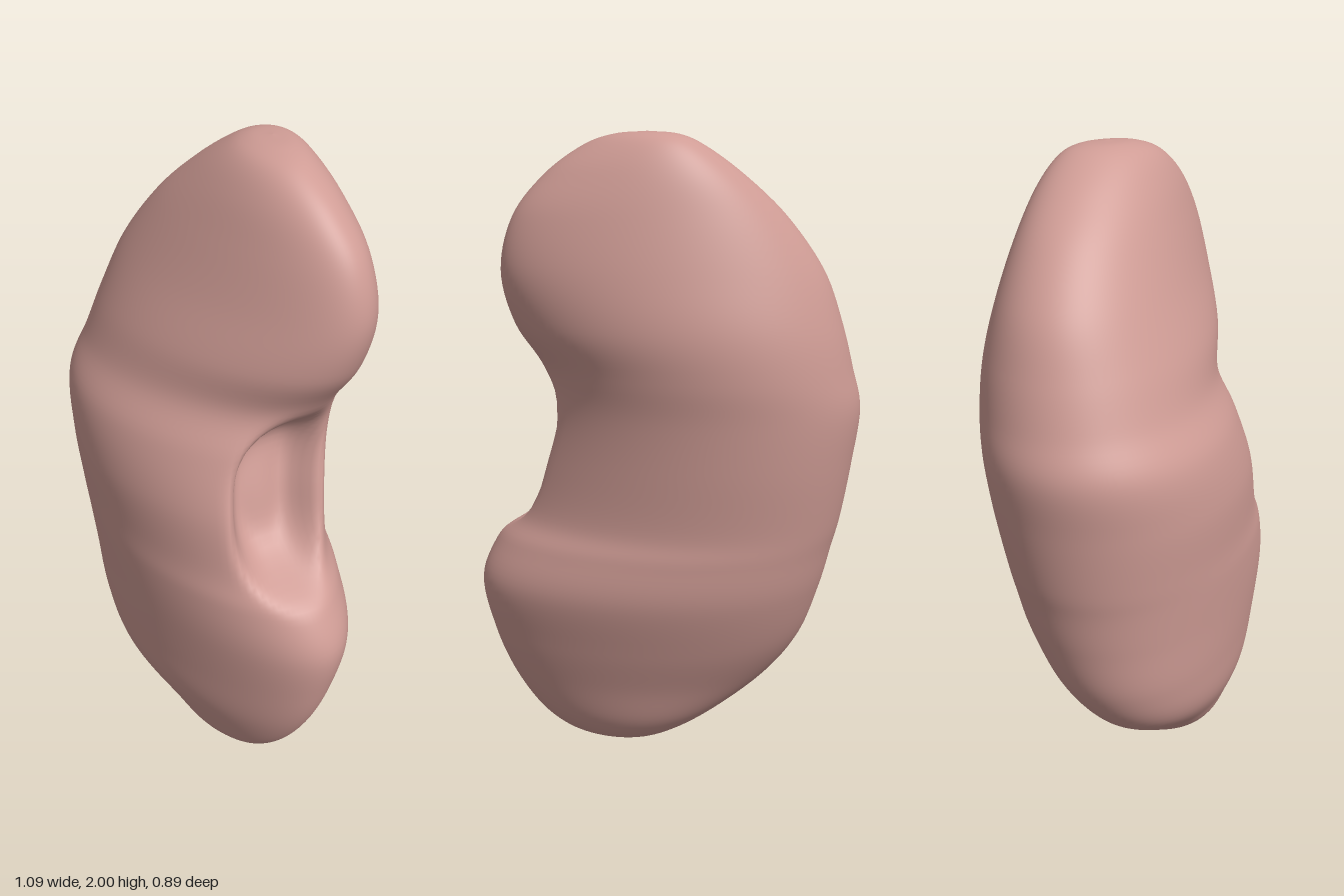
import * as THREE from 'three';

// Cross-sections from bottom to top: y, x min, x max, z min, z max, slant
const SECTIONS = [
  [0.00, 0.13, 0.13, 0.18, 0.18, 0.4],
  [0.008, 0.04, 0.22, 0.10, 0.25, 0.4],
  [0.04, -0.05, 0.30, 0.02, 0.315, 0.42],
  [0.12, -0.17, 0.38, -0.07, 0.36, 0.47],
  [0.25, -0.335, 0.455, -0.16, 0.405, 0.49],
  [0.40, -0.42, 0.51, -0.25, 0.43, 0.5],
  [0.58, -0.46, 0.545, -0.325, 0.448, 0.48],
  [0.72, -0.485, 0.495, -0.36, 0.435, 0.45],
  [0.82, -0.505, 0.435, -0.38, 0.41, 0.42],
  [1.00, -0.53, 0.40, -0.415, 0.385, 0.36],
  [1.17, -0.545, 0.38, -0.438, 0.33, 0.31],
  [1.30, -0.50, 0.395, -0.443, 0.27, 0.31],
  [1.44, -0.45, 0.475, -0.43, 0.27, 0.39],
  [1.60, -0.38, 0.512, -0.39, 0.24, 0.48],
  [1.76, -0.26, 0.475, -0.335, 0.20, 0.52],
  [1.88, -0.13, 0.385, -0.28, 0.15, 0.5],
  [1.96, -0.02, 0.285, -0.22, 0.085, 0.45],
  [1.992, 0.05, 0.21, -0.16, 0.01, 0.42],
  [2.00, 0.13, 0.13, -0.075, -0.075, 0.42],
];

const AROUND = 112;
const LEVELS = 126;

function bodyGeometry() {
  const spline = (start) => new THREE.CatmullRomCurve3(
    SECTIONS.map((s) => new THREE.Vector3(s[start], s[start + 1], s[start + 2])), false, 'catmullrom');
  const first = spline(0);
  const second = spline(3);
  const positions = [];
  const indices = [];

  for (let j = 0; j <= LEVELS; j++) {
    const { x: y, y: x0, z: x1 } = first.getPoint(j / LEVELS);
    const { x: z0, y: z1, z: slant } = second.getPoint(j / LEVELS);
    for (let i = 0; i < AROUND; i++) {
      const t = (i / AROUND) * Math.PI * 2;
      // The outer edge is slanted less than the inner one
      const phase = Math.asin(slant + 0.13 * Math.cos(t));
      let x = (x0 + x1) / 2 + ((x1 - x0) / 2) * Math.cos(t);
      let z = (z0 + z1) / 2 + ((z1 - z0) / 2) * Math.sin(t + phase);
      // Hilum: a steep-walled hollow in the inner edge
      const dt = (t > Math.PI ? t - Math.PI * 2 : t) - 0.4;
      const d = Math.abs(dt / 0.44) ** 2.5 + Math.abs((y - 1.015) / 0.23) ** 3;
      const dent = 0.18 * Math.exp(-d * d);
      x -= dent * 0.8;
      z -= dent * 0.6;
      positions.push(x, THREE.MathUtils.clamp(y, 0, 2), z);

      if (j < LEVELS) {
        const next = (i + 1) % AROUND;
        const a = j * AROUND + i, b = j * AROUND + next;
        const c = a + AROUND, e = b + AROUND;
        indices.push(a, c, b, b, c, e);
      }
    }
  }

  const geometry = new THREE.BufferGeometry();
  geometry.setAttribute('position', new THREE.Float32BufferAttribute(positions, 3));
  geometry.setIndex(indices);
  geometry.computeVertexNormals();
  return geometry;
}

export function createModel() {
  const group = new THREE.Group();
  group.name = 'kidney';
  const body = new THREE.Mesh(bodyGeometry(), new THREE.MeshStandardMaterial({ color: 0xcf9c95 }));
  body.name = 'kidneyBody';
  group.add(body);
  return group;
}
